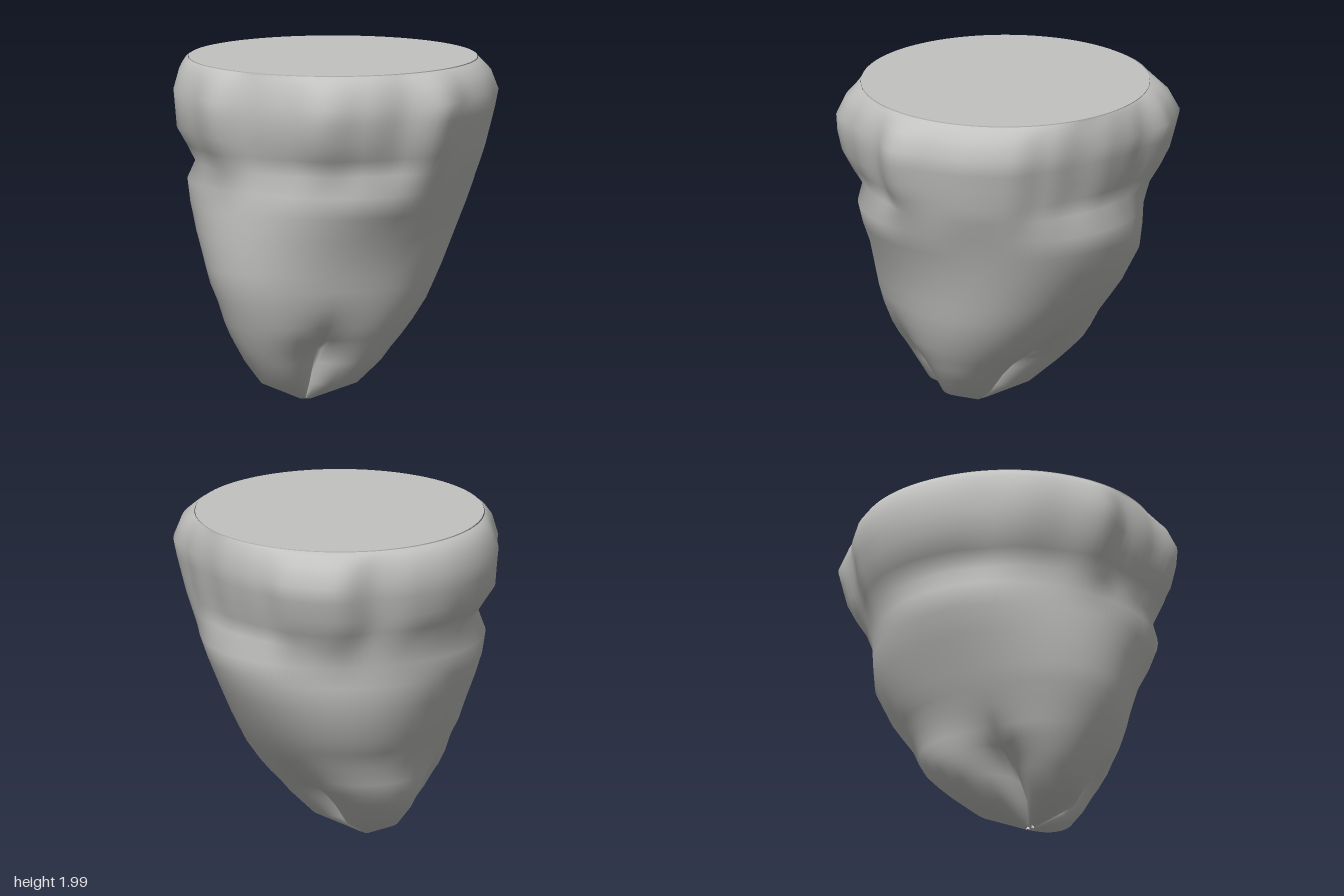
import * as THREE from 'three';

// height, centre x, radius x, centre z, radius z, groove ratio, rim bump weight
const LEVELS = [
  [0.01, -0.08, 0.035, 0.21, 0.035, 0.2, 0],
  [0.12, -0.055, 0.295, 0.23, 0.29, 0.15, 0],
  [0.25, -0.055, 0.415, 0.205, 0.405, 0.24, 0],
  [0.33, -0.053, 0.46, 0.19, 0.465, 0.42, 0],
  [0.4, -0.05, 0.5, 0.17, 0.52, 0.74, 0],
  [0.48, -0.045, 0.54, 0.15, 0.575, 0.87, 0],
  [0.6, -0.04, 0.59, 0.12, 0.65, 0.92, 0],
  [0.7, -0.05, 0.63, 0.1, 0.695, 0.94, 0],
  [0.8, -0.055, 0.66, 0.075, 0.735, 0.955, 0],
  [1.0, -0.06, 0.73, 0.035, 0.795, 0.99, 0],
  [1.15, -0.04, 0.78, 0.025, 0.805, 1.03, 0],
  [1.28, -0.02, 0.815, 0.02, 0.81, 1.045, 0],
  [1.4, 0, 0.855, 0.005, 0.835, 0.96, 0.4],
  [1.5, 0, 0.895, 0.01, 0.875, 0.98, 0.8],
  [1.6, -0.01, 0.93, 0.015, 0.915, 1, 0.9],
  [1.72, 0, 0.95, 0.01, 0.94, 1, 1],
  [1.82, 0, 0.965, 0, 0.955, 1, 1],
  [1.93, -0.01, 0.925, 0, 0.91, 1, 0.7],
  [1.98, -0.025, 0.875, 0, 0.865, 1, 0.3],
  [1.995, -0.025, 0.845, 0.005, 0.84, 1, 0],
];
// outline of the lumpy rim, every 15 degrees from +x towards +z
const RIM = [0.93, 0.975, 0.89, 0.92, 0.975, 0.905, 0.89, 0.97, 0.935, 0.955, 0.935, 0.965,
  0.97, 0.97, 0.96, 0.93, 1.02, 0.99, 0.9, 0.875, 0.85, 0.88, 0.935, 0.94];
const SEG = 120;
const { lerp, clamp, degToRad } = THREE.MathUtils;

function rimAt(deg) {
  const f = deg / 15, i = Math.floor(f), t = f - i;
  const s = t * t * (3 - 2 * t);
  return lerp(RIM[i % 24], RIM[(i + 1) % 24], s) / 0.955;
}

// three lobes at -15, 105 and 225 degrees: sharp grooves below, soft facets above
function pointAt([y, cx, rx, cz, rz, groove, bump], deg) {
  const a = degToRad(deg);
  const low = clamp((0.6 - y) / 0.25, 0, 1);
  const wave = Math.abs(Math.cos(1.5 * (a - degToRad(105))));
  const lobe = Math.pow(wave, lerp(2, 0.55, low));
  const backLobe = Math.max(0, Math.cos(a - degToRad(225)));
  const tip = 1 + 0.04 * clamp((1.2 - y) / 0.4, 0, 1) + 0.18 * low * backLobe ** 3;
  const k = lerp(groove, tip, lobe) * lerp(1, rimAt(deg), bump);
  return [cx + rx * k * Math.cos(a), y, cz + rz * k * Math.sin(a)];
}

function bodyGeometry() {
  const pos = [], index = [];
  for (const level of LEVELS)
    for (let j = 0; j < SEG; j++) pos.push(...pointAt(level, (j * 360) / SEG));
  for (let i = 0; i < LEVELS.length - 1; i++)
    for (let j = 0; j < SEG; j++) {
      const a = i * SEG + j, b = i * SEG + ((j + 1) % SEG);
      index.push(a, a + SEG, b, b, a + SEG, b + SEG);
    }
  // close the underside with a small hollow between the lobe tips
  const hollow = pos.length / 3;
  pos.push(-0.08, 0.05, 0.21);
  for (let j = 0; j < SEG; j++) index.push(hollow, j, (j + 1) % SEG);
  const g = new THREE.BufferGeometry();
  g.setAttribute('position', new THREE.Float32BufferAttribute(pos, 3));
  g.setIndex(index);
  g.computeVertexNormals();
  return g;
}

export function createModel() {
  const group = new THREE.Group();
  group.name = 'lobedStone';
  const stone = new THREE.MeshStandardMaterial({ color: 0xc2c2c0 });
  stone.name = 'grey stone';

  // lumpy collar tapering to the three-lobed tip
  const body = new THREE.Mesh(bodyGeometry(), stone);
  body.name = 'lobedBody';
  group.add(body);

  // flat top
  const top = new THREE.Mesh(new THREE.CylinderGeometry(0.84, 0.84, 0.008, SEG), stone);
  top.name = 'flatTop';
  top.position.set(-0.025, 1.996, 0.005);
  group.add(top);
  return group;
}
